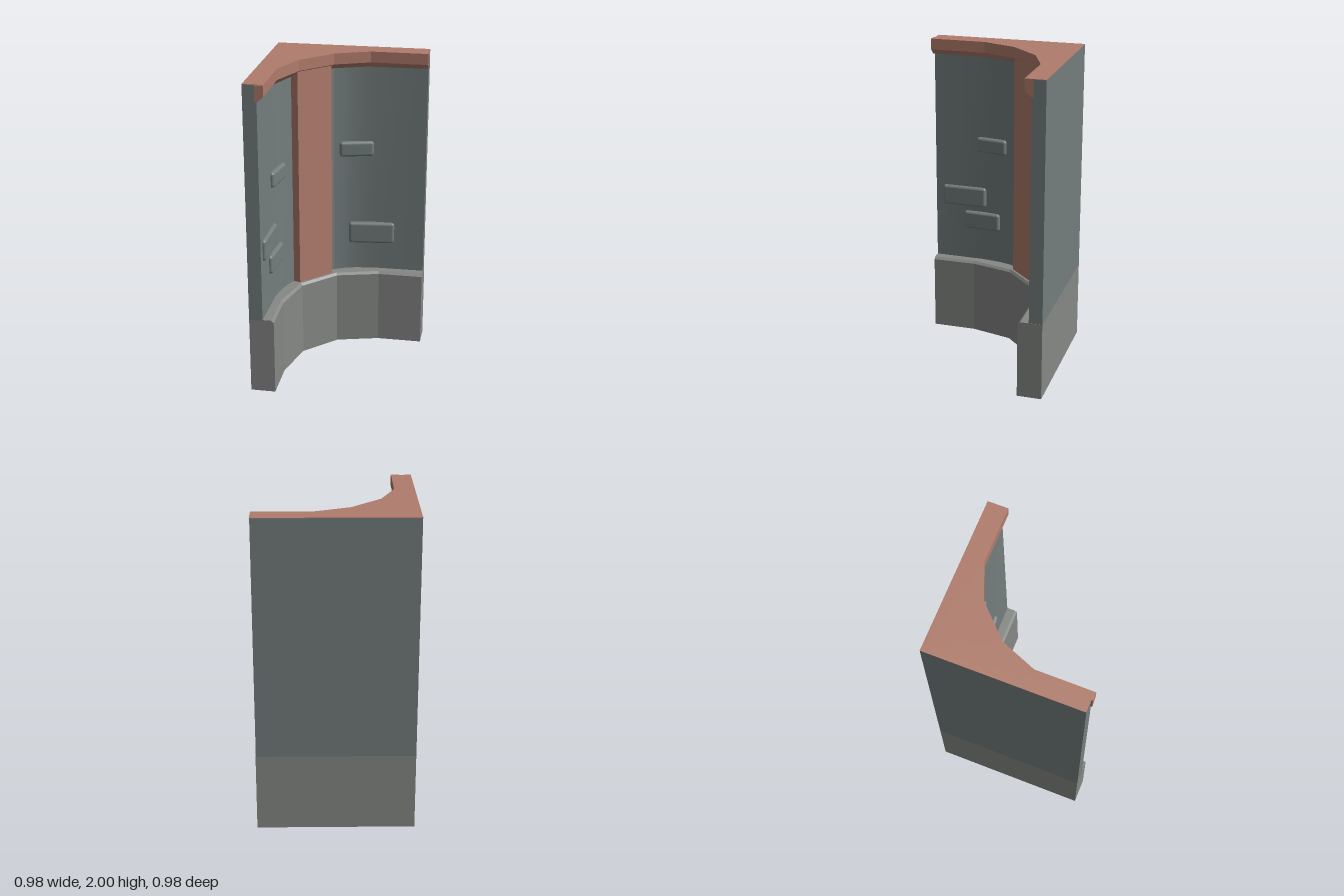
import * as THREE from 'three';
import { toCreasedNormals } from 'three/addons/utils/BufferGeometryUtils.js';
import { RoundedBoxGeometry } from 'three/addons/geometries/RoundedBoxGeometry.js';

const material = (color, flatShading = true) => new THREE.MeshStandardMaterial({ color, flatShading });
const stone = material(0x858885);
const plaster = material(0x747d7d, false);
const clay = material(0xb07c6c);

// Mirrors half an inner edge across the diagonal; runs from the left end to the right end.
const mirrored = (half) => [...half.map(([x, z]) => [z, x]), ...half.slice().reverse()];

// L-shaped plan: straight back edges, then the curved inner edge.
const plan = (inner, back, endX, endZ) => {
  const pts = inner.map(([x, z]) => [Math.min(x, endX), Math.min(z, endZ)]);
  return [[endX, back], [back, back], [back, endZ], ...pts];
};

// Solid made from stacked plan outlines [y, points], capped at both ends.
function stack(layers) {
  const pos = [];
  const put = (y, p) => pos.push(p[0], y, p[1]);
  for (let k = 0; k + 1 < layers.length; k++) {
    const [y0, lo] = layers[k], [y1, hi] = layers[k + 1];
    lo.forEach((a, i) => {
      const j = (i + 1) % lo.length;
      put(y0, a); put(y0, lo[j]); put(y1, hi[j]);
      put(y0, a); put(y1, hi[j]); put(y1, hi[i]);
    });
  }
  const cap = ([y, pts], up) => {
    const contour = pts.map(([x, z]) => new THREE.Vector2(x, -z));
    for (const [a, b, c] of THREE.ShapeUtils.triangulateShape(contour, []))
      for (const i of up ? [a, b, c] : [a, c, b]) put(y, pts[i]);
  };
  cap(layers[0], false);
  cap(layers[layers.length - 1], true);
  const geo = new THREE.BufferGeometry();
  geo.setAttribute('position', new THREE.Float32BufferAttribute(pos, 3));
  geo.computeVertexNormals();
  return geo;
}

// Half profiles from the right-hand end towards the corner.
const wallHalf = [[0.49, -0.405], [0.15, -0.4], [0.03, -0.382], [-0.04, -0.36], [-0.1, -0.33]];
const baseInner = mirrored([[0.49, -0.335], [0.2, -0.335], [-0.07, -0.265]]);
const ledgeInner = mirrored([[0.49, -0.35], [0.195, -0.35], [-0.077, -0.277]]);
const corniceInner = mirrored([[0.49, -0.363], [0.13, -0.363], [-0.09, -0.275]]);
const corniceFoot = mirrored([[0.49, -0.403], [0.11, -0.392], [-0.11, -0.31]]);

// Depth of the wall face at distance t along either wing.
function wallDepth(t) {
  for (let i = 0; i + 1 < wallHalf.length; i++) {
    const [t1, d1] = wallHalf[i], [t0, d0] = wallHalf[i + 1];
    if (t >= t0) return d0 + (d1 - d0) * (t - t0) / (t1 - t0);
  }
  return wallHalf[wallHalf.length - 1][1];
}

// Raised brick set into a wing, following the wall's slope.
function brick(t0, t1, y0, y1, onLeftWing) {
  const d0 = wallDepth(t0), d1 = wallDepth(t1);
  const angle = Math.atan2(d1 - d0, t1 - t0);
  const length = Math.hypot(t1 - t0, d1 - d0);
  const geo = new RoundedBoxGeometry(length, y1 - y0, 0.07, 3, 0.018);
  const mesh = new THREE.Mesh(geo, plaster);
  const t = (t0 + t1) / 2, d = (d0 + d1) / 2 - 0.015;
  mesh.position.set(onLeftWing ? d : t, (y0 + y1) / 2, onLeftWing ? t : d);
  mesh.rotation.y = onLeftWing ? Math.PI / 2 + angle : -angle;
  mesh.name = 'raisedBrick';
  return mesh;
}

export function createModel() {
  const group = new THREE.Group();
  group.name = 'cornerWall';
  const add = (name, geo, mat) => {
    const mesh = new THREE.Mesh(geo, mat);
    mesh.name = name;
    group.add(mesh);
  };

  // Plinth with a chamfered upper edge
  const base = plan(baseInner, -0.49, 0.49, 0.48);
  const ledge = plan(ledgeInner, -0.49, 0.49, 0.48);
  add('base', stack([[0, base], [0.485, base], [0.5, ledge]]), stone);

  // Upper wall
  const wall = plan(mirrored(wallHalf), -0.49, 0.488, 0.48);
  add('wall', toCreasedNormals(stack([[0.495, wall], [1.997, wall]]), 0.3), plaster);

  // Diagonal pillar in the corner
  const pillar = [[-0.11, -0.34], [-0.34, -0.34], [-0.34, -0.11], [-0.325, -0.1],
    [-0.285, -0.09], [-0.105, -0.27], [-0.12, -0.3]];
  add('pillar', stack([[0.495, pillar], [1.935, pillar]]), clay);

  // Cornice with a sloping underside, and the cap that covers the wall top
  const foot = plan(corniceFoot, -0.415, 0.49, 0.49);
  const lip = plan(corniceInner, -0.415, 0.49, 0.49);
  add('cornice', stack([[1.895, foot], [1.93, lip], [1.999, lip]]), clay);
  const cap = plan(corniceInner, -0.49, 0.49, 0.48);
  add('topCap', stack([[1.996, cap], [2, cap]]), clay);

  // Scattered bricks on both wings
  group.add(
    brick(-0.07, 0.145, 1.3, 1.4, false),
    brick(-0.01, 0.29, 0.69, 0.835, false),
    brick(-0.02, 0.19, 1.26, 1.36, true),
    brick(0.13, 0.43, 0.875, 1.01, true),
    brick(0.03, 0.28, 0.72, 0.84, true),
  );
  return group;
}
